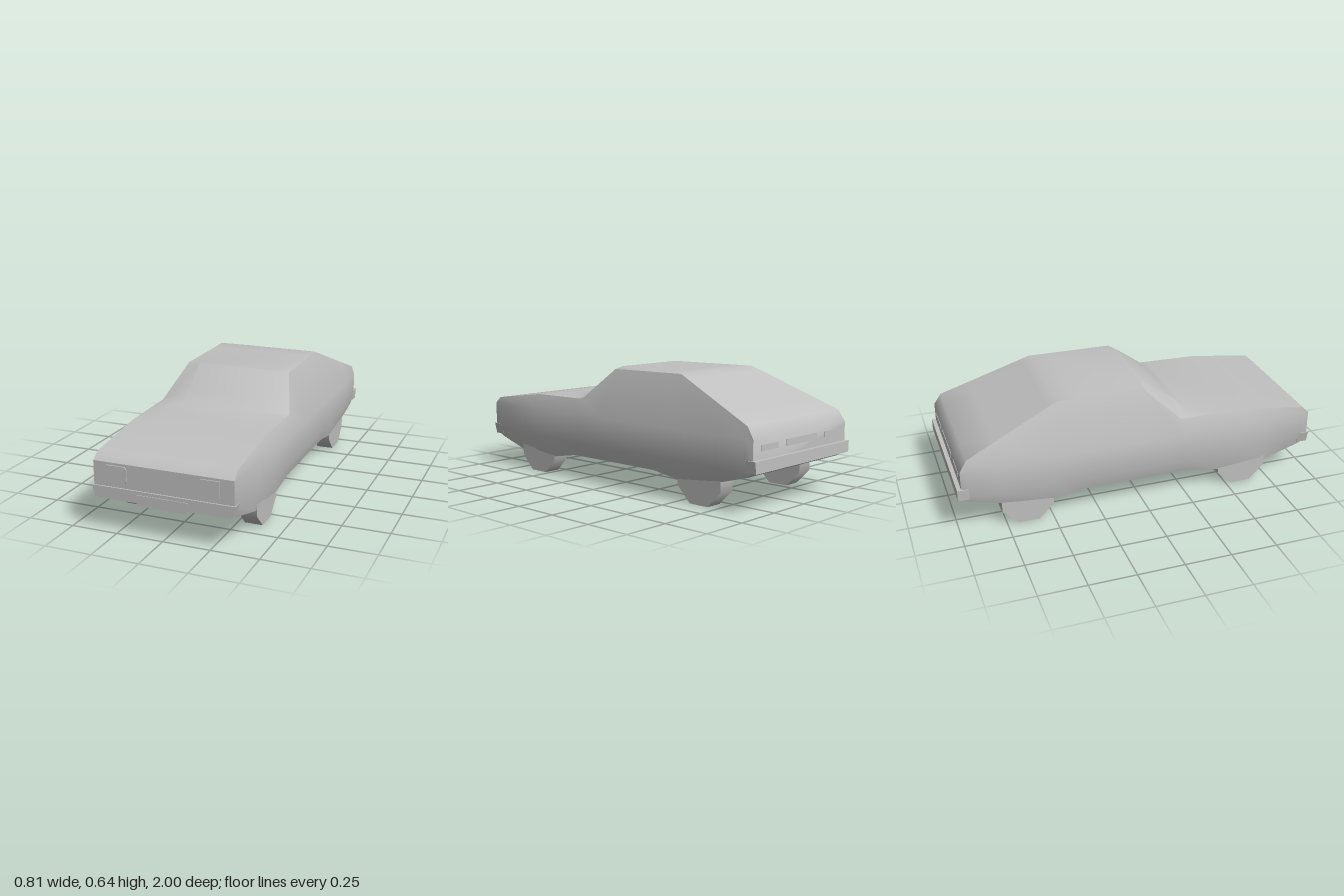
import * as THREE from 'three';
import { toCreasedNormals } from 'three/addons/utils/BufferGeometryUtils.js';

const paint = new THREE.MeshStandardMaterial({ color: 0xc0c0c0 });
paint.name = 'light grey';

// Linear lookup in a list of [z, value] pairs that runs from front to rear
function at(table, z) {
  if (z >= table[0][0]) return table[0][1];
  for (let i = 1; i < table.length; i++) {
    const [z0, v0] = table[i - 1], [z1, v1] = table[i];
    if (z >= z1) return v0 + (v1 - v0) * (z0 - z) / (z0 - z1);
  }
  return table[table.length - 1][1];
}

// Body lines along the length of the car
const sillX = [[0.988, 0.35], [0.94, 0.355], [0.72, 0.376], [0.44, 0.38], [-0.78, 0.38], [-0.978, 0.388]];
const sillY = [[0.988, 0.18], [0.94, 0.16], [0.72, 0.11], [0.44, 0.105], [0.27, 0.135], [-0.33, 0.135],
  [-0.49, 0.11], [-0.78, 0.14], [-0.94, 0.185], [-0.978, 0.21]];
const flankX = [[0.988, 0.37], [0.95, 0.374], [0.59, 0.398], [0.28, 0.402], [-0.94, 0.402], [-0.978, 0.395]];
const lowY = [[0.988, 0.225], [0.72, 0.21], [-0.78, 0.21], [-0.978, 0.24]];
const beltY = [[0.988, 0.345], [0.95, 0.365], [-0.94, 0.37], [-0.978, 0.355]];
const edgeX = [[0.988, 0.37], [0.95, 0.367], [0.59, 0.364], [0.22, 0.37], [0.03, 0.297], [-0.44, 0.295],
  [-0.94, 0.388], [-0.978, 0.394]];
const edgeY = [[0.988, 0.365], [0.95, 0.4], [0.59, 0.449], [0.22, 0.455], [0.03, 0.627], [-0.44, 0.634],
  [-0.94, 0.43], [-0.978, 0.37]];
const crownY = [[0.988, 0.365], [0.95, 0.4], [0.59, 0.45], [0.28, 0.47], [0.05, 0.636], [-0.44, 0.635],
  [-0.94, 0.43], [-0.978, 0.37]];

function bodyGeometry() {
  const stations = [0.988, 0.95, 0.72, 0.59, 0.44, 0.28, 0.22, 0.05, 0.03, -0.33, -0.44, -0.49, -0.78, -0.94, -0.978];
  const rings = stations.map(z => {
    const half = [
      [at(sillX, z), at(sillY, z)], [at(flankX, z), at(lowY, z)], [at(flankX, z), at(beltY, z)],
      [at(edgeX, z), at(edgeY, z)], [0.22, at(crownY, z)],
    ];
    const mirrored = half.map(([x, y]) => [-x, y]).reverse();
    return [...half, ...mirrored].map(([x, y]) => [x, y, z]);
  });
  const pos = [];
  const tri = (a, b, c) => pos.push(...a, ...b, ...c);
  const n = rings[0].length;
  for (let i = 0; i < rings.length - 1; i++) {
    for (let j = 0; j < n; j++) {
      const k = (j + 1) % n, r = rings[i], s = rings[i + 1];
      tri(r[j], s[j], r[k]);
      tri(r[k], s[j], s[k]);
    }
  }
  // Nose and tail faces
  const front = rings[0], rear = rings[rings.length - 1];
  for (let j = 1; j < n - 1; j++) {
    tri(front[0], front[j], front[j + 1]);
    tri(rear[0], rear[j + 1], rear[j]);
  }
  const g = new THREE.BufferGeometry();
  g.setAttribute('position', new THREE.Float32BufferAttribute(pos, 3));
  return toCreasedNormals(g, 0.66);
}

// Bumper bar that is slightly narrower at its lower edge
function bumperGeometry(top, bottom, y0, y1, z0, z1) {
  const s = new THREE.Shape();
  s.moveTo(-bottom, y0);
  s.lineTo(bottom, y0);
  s.lineTo(top, y1);
  s.lineTo(-top, y1);
  return new THREE.ExtrudeGeometry(s, { depth: z1 - z0, bevelEnabled: false }).translate(0, 0, z0);
}

// Headlamp plate with its inner corners cut off
function headlampGeometry(side) {
  const s = new THREE.Shape();
  const pts = [[0.298, 0.267], [0.298, 0.352], [0.198, 0.352], [0.189, 0.34], [0.189, 0.276], [0.198, 0.267]];
  pts.forEach(([x, y], i) => (i ? s.lineTo(side * x, y) : s.moveTo(side * x, y)));
  return new THREE.ExtrudeGeometry(s, { depth: 0.008, bevelEnabled: false }).translate(0, 0, 0.986);
}

export function createModel() {
  const car = new THREE.Group();
  car.name = 'car';
  const add = (name, geometry, x = 0, y = 0, z = 0) => {
    const mesh = new THREE.Mesh(geometry, paint);
    mesh.name = name;
    mesh.position.set(x, y, z);
    car.add(mesh);
    return mesh;
  };

  add('body', bodyGeometry());
  add('frontBumper', bumperGeometry(0.378, 0.364, 0.178, 0.24, 0.935, 0.996));
  add('rearBumper', bumperGeometry(0.404, 0.4, 0.21, 0.27, -1, -0.94));
  add('frontPlate', new THREE.BoxGeometry(0.27, 0.058, 0.008), 0, 0.193, 0.996);
  add('rearPlate', new THREE.BoxGeometry(0.26, 0.035, 0.006), 0, 0.325, -0.978);

  // Eight-sided wheels, standing on a flat side
  const wheel = new THREE.CylinderGeometry(0.15, 0.15, 0.095, 8).rotateY(Math.PI / 8).rotateZ(Math.PI / 2);
  for (const side of [1, -1]) {
    const label = side > 0 ? 'left' : 'right';
    add(label + 'Headlamp', headlampGeometry(side));
    add(label + 'TailLamp', new THREE.BoxGeometry(0.13, 0.03, 0.006), side * 0.265, 0.325, -0.978);
    add(label + 'FrontWheel', wheel, side * 0.333, 0.139, 0.585);
    add(label + 'RearWheel', wheel, side * 0.333, 0.139, -0.635);
  }
  return car;
}
